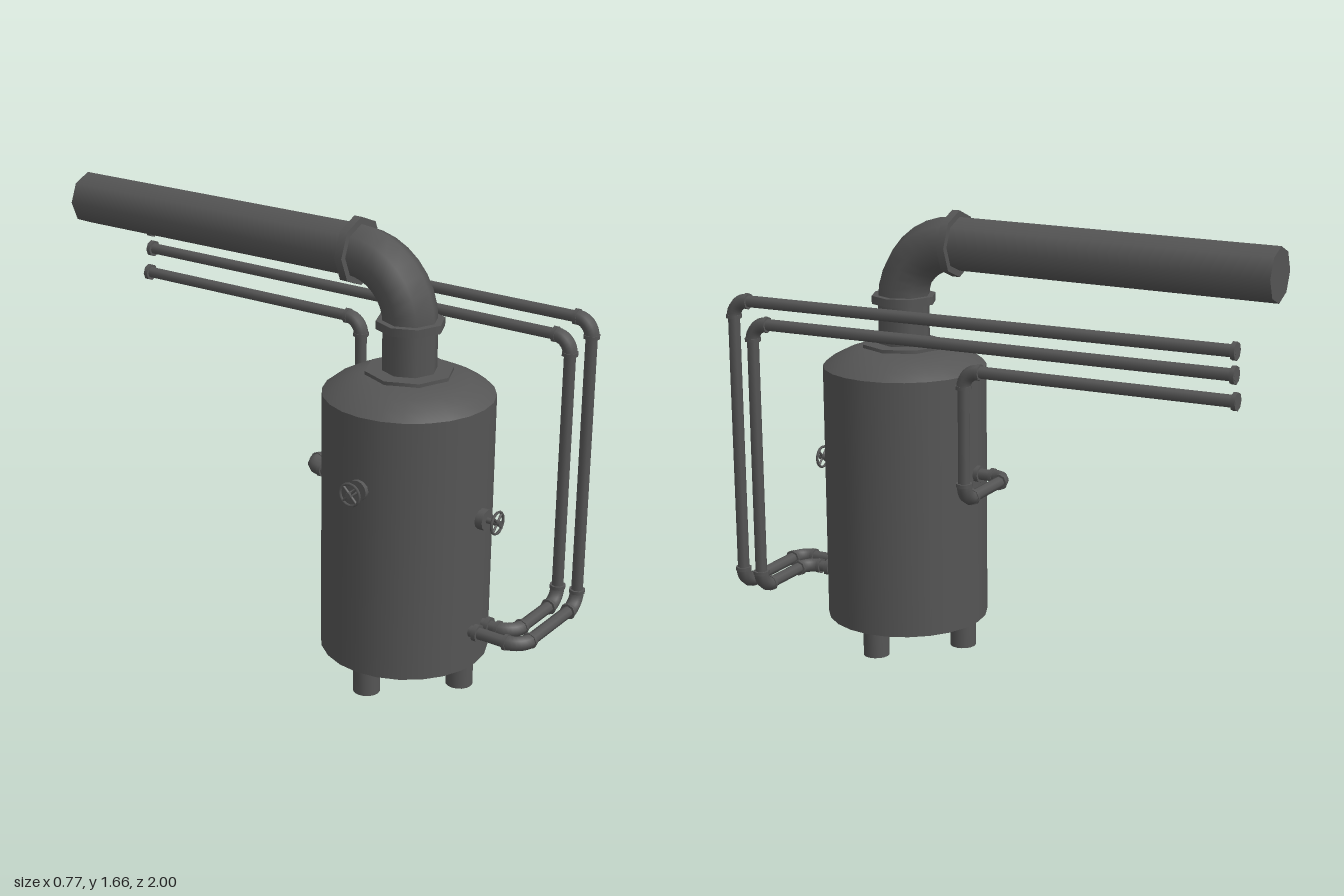
import * as THREE from 'three';

const V = (x, y, z) => new THREE.Vector3(x, y, z);
const UP = V(0, 1, 0);
const CX = -0.02, CZ = 0.46; // tank axis

export function createModel() {
  const root = new THREE.Group();
  root.name = 'boiler';
  const mat = new THREE.MeshStandardMaterial({ color: 0x555555 });

  function add(parent, name, geo) {
    const m = new THREE.Mesh(geo, mat);
    m.name = name;
    parent.add(m);
    return m;
  }

  // Cylinder running from point a to point b
  function rod(parent, name, a, b, r, sides = 8) {
    const d = b.clone().sub(a);
    const m = add(parent, name, new THREE.CylinderGeometry(r, r, d.length(), sides));
    m.position.copy(a).add(b).multiplyScalar(0.5);
    m.quaternion.setFromUnitVectors(UP, d.normalize());
    return m;
  }

  // Ring centred on p, facing along dir
  function collar(parent, p, dir, r, thick) {
    const h = dir.clone().setLength(thick / 2);
    rod(parent, 'collar', p.clone().sub(h), p.clone().add(h), r);
  }

  // Straight runs joined by round elbows, with a collar at both ends of each elbow
  function pipe(name, pts, o) {
    const g = new THREE.Group();
    g.name = name;
    root.add(g);
    let from = pts[0];
    for (let i = 1; i < pts.length; i++) {
      const p = pts[i], din = p.clone().sub(pts[i - 1]).normalize();
      if (i === pts.length - 1) {
        rod(g, 'run', from, p, o.r);
        break;
      }
      const dout = pts[i + 1].clone().sub(p).normalize();
      const a = p.clone().addScaledVector(din, -o.bend);
      const b = p.clone().addScaledVector(dout, o.bend);
      const k = o.bend * 0.552;
      const curve = new THREE.CubicBezierCurve3(a, a.clone().addScaledVector(din, k), b.clone().addScaledVector(dout, -k), b);
      rod(g, 'run', from, a, o.r);
      add(g, 'elbow', new THREE.TubeGeometry(curve, 8, o.elbowR, 8));
      collar(g, a, din, o.collarR, o.thick);
      collar(g, b, dout, o.collarR, o.thick);
      from = b;
    }
    return g;
  }

  // Tank body, domed shoulder and top flange
  const tank = add(root, 'tank', new THREE.CylinderGeometry(0.305, 0.305, 0.97, 24));
  tank.position.set(CX, 0.585, CZ);
  const profile = [[0.305, 1.07], [0.27, 1.097], [0.22, 1.122], [0.158, 1.142], [0, 1.148]];
  const dome = add(root, 'dome', new THREE.LatheGeometry(profile.map(p => new THREE.Vector2(...p)), 24));
  dome.position.set(CX, 0, CZ);
  rod(root, 'topFlange', V(CX, 1.135, CZ), V(CX, 1.155, CZ), 0.158);

  // Four feet
  for (let i = 0; i < 4; i++) {
    const a = i * Math.PI / 2;
    const x = CX + 0.24 * Math.cos(a), z = CZ + 0.24 * Math.sin(a);
    rod(root, 'foot', V(x, 0, z), V(x, 0.11, z), 0.049, 16);
  }

  // Chimney
  pipe('chimney', [V(CX, 1.14, CZ), V(CX, 1.543, CZ), V(CX, 1.53, -1)],
    { r: 0.098, elbowR: 0.098, bend: 0.222, collarR: 0.122, thick: 0.03 });

  // Three service pipes that end in flanges at the back
  const small = { r: 0.022, elbowR: 0.027, bend: 0.06, collarR: 0.03, thick: 0.013 };
  const routes = {
    outerPipe: [V(-0.05, 0.24, 0.74), V(-0.05, 0.24, 0.965), V(0.345, 0.24, 0.965), V(0.347, 1.333, 0.965), V(0.31, 1.333, -0.98)],
    innerPipe: [V(0.03, 0.235, 0.74), V(0.03, 0.235, 0.885), V(0.345, 0.235, 0.885), V(0.347, 1.253, 0.885), V(0.31, 1.253, -0.98)],
    rearPipe: [V(CX, 0.685, 0.18), V(CX, 0.685, 0.03), V(0.31, 0.685, 0.03), V(0.31, 1.16, 0.03), V(0.29, 1.16, -0.98)],
  };
  for (const [name, pts] of Object.entries(routes)) {
    const g = pipe(name, pts, small);
    const dir = V(0, 0, 1);
    collar(g, V(pts[0].x, pts[0].y, name === 'rearPipe' ? 0.15 : 0.785), dir, 0.032, 0.018);
    collar(g, pts[4].clone().setZ(-0.972), dir, 0.032, 0.016);
  }

  // Valve with a spoked handwheel, built facing +z
  function valve(name) {
    const g = new THREE.Group();
    g.name = name;
    root.add(g);
    rod(g, 'valveBase', V(0, 0, -0.02), V(0, 0, 0.025), 0.038, 12);
    rod(g, 'stem', V(0, 0, 0), V(0, 0, 0.078), 0.011);
    const rim = add(g, 'handwheel', new THREE.TorusGeometry(0.04, 0.005, 6, 16));
    rim.position.z = 0.065;
    for (const a of [Math.PI / 4, -Math.PI / 4]) {
      const s = V(Math.cos(a) * 0.04, Math.sin(a) * 0.04, 0);
      rod(g, 'spoke', s.clone().negate().setZ(0.065), s.setZ(0.065), 0.005, 6);
    }
    return g;
  }
  valve('frontValve').position.set(-0.015, 0.665, 0.765);
  const side = valve('sideValve');
  side.position.set(-0.312, 0.805, CZ);
  side.rotation.y = -Math.PI / 2;

  return root;
}
